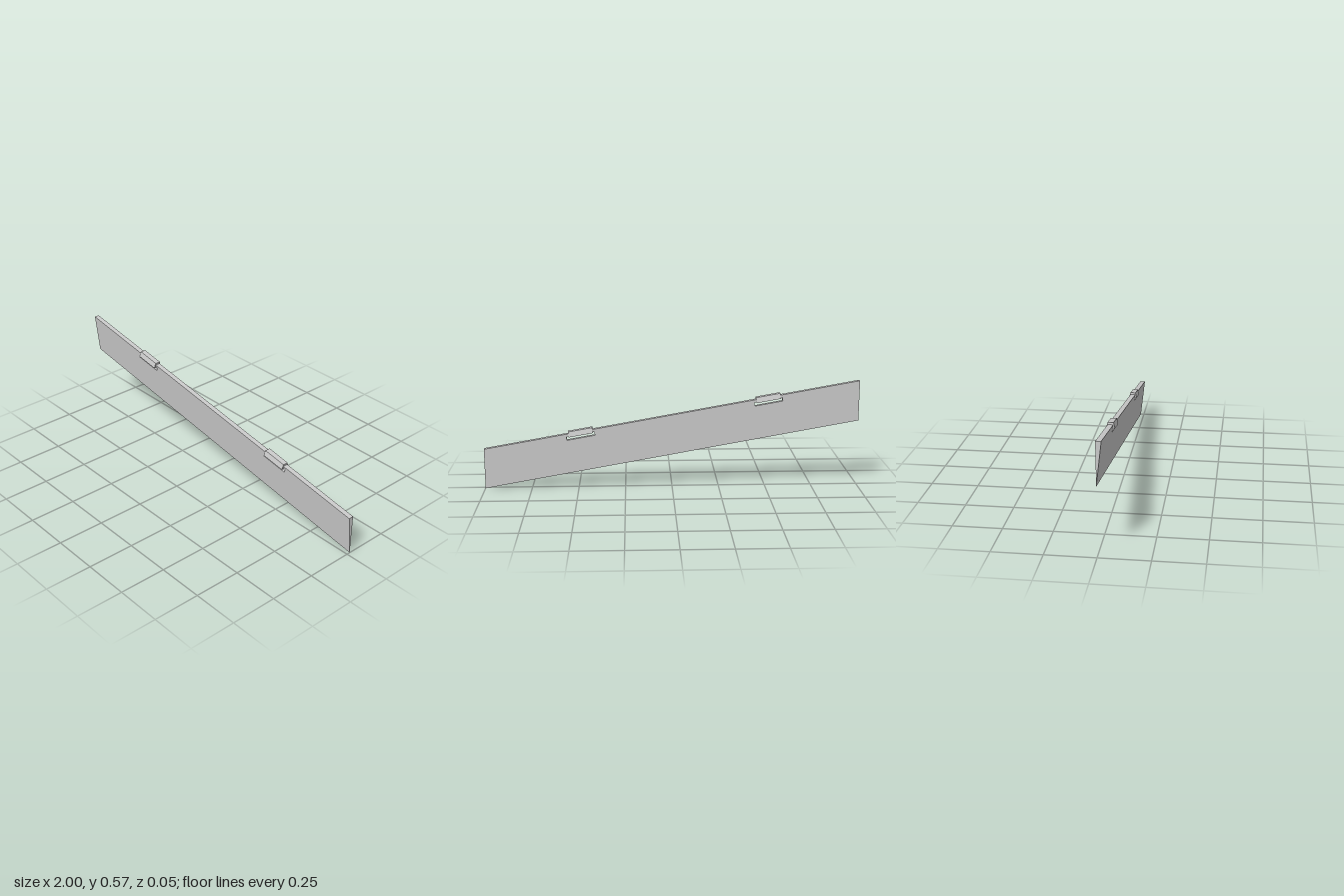
import * as THREE from 'three';

const material = new THREE.MeshStandardMaterial({ color: 0xcccccc, flatShading: true, side: THREE.DoubleSide });

const topLine = x => 0.398 - 0.1763 * x; // sloping top edge
const midZ = x => 0.0008 - 0.0088 * x; // slight yaw of the whole board
const DEPTH = 0.217;
const slotCentres = [-0.514, 0.486];

// Extrude an outline given as (x, -depth below the top edge), then shear it
// onto the slope; zAt(depth, side) gives the half thickness offset.
function slopedSolid(shape, zAt) {
  const geo = new THREE.ExtrudeGeometry(shape, { depth: 1, bevelEnabled: false });
  const p = geo.attributes.position;
  for (let i = 0; i < p.count; i++) {
    const x = p.getX(i), d = -p.getY(i), front = p.getZ(i) > 0.5;
    p.setXYZ(i, x, topLine(x) - d, midZ(x) + zAt(d, front));
  }
  geo.computeVertexNormals();
  return geo;
}

const points = list => list.map(([x, y]) => new THREE.Vector2(x, y));

export function createModel() {
  const group = new THREE.Group();
  const add = (name, geo) => {
    const mesh = new THREE.Mesh(geo, material);
    mesh.name = name;
    group.add(mesh);
  };

  // Wedge board: thick along the top, tapering to a sharp lower edge
  const board = new THREE.Shape(points([[-1, -DEPTH], [1, -DEPTH], [1, 0], [-1, 0]]));
  for (const c of slotCentres) {
    board.holes.push(new THREE.Path(points([
      [c - 0.072, -0.014], [c + 0.076, -0.014], [c + 0.073, -0.034], [c - 0.076, -0.034],
    ])));
  }
  add('wedgeBoard', slopedSolid(board, (d, front) => {
    const t = d / DEPTH;
    return THREE.MathUtils.lerp(front ? 0.0135 : -0.0135, -0.0105, t);
  }));

  // Flared clips straddling the top edge above each slot
  slotCentres.forEach((c, i) => {
    const clip = new THREE.Shape(points([
      [c - 0.066, -0.018], [c + 0.064, -0.018], [c + 0.068, 0.011], [c - 0.061, 0.011],
    ]));
    add(i ? 'leftClip' : 'rightClip', slopedSolid(clip, (d, front) =>
      (front ? 1 : -1) * (d > 0 ? 0.022 : 0.0145)));
  });

  return group;
}
